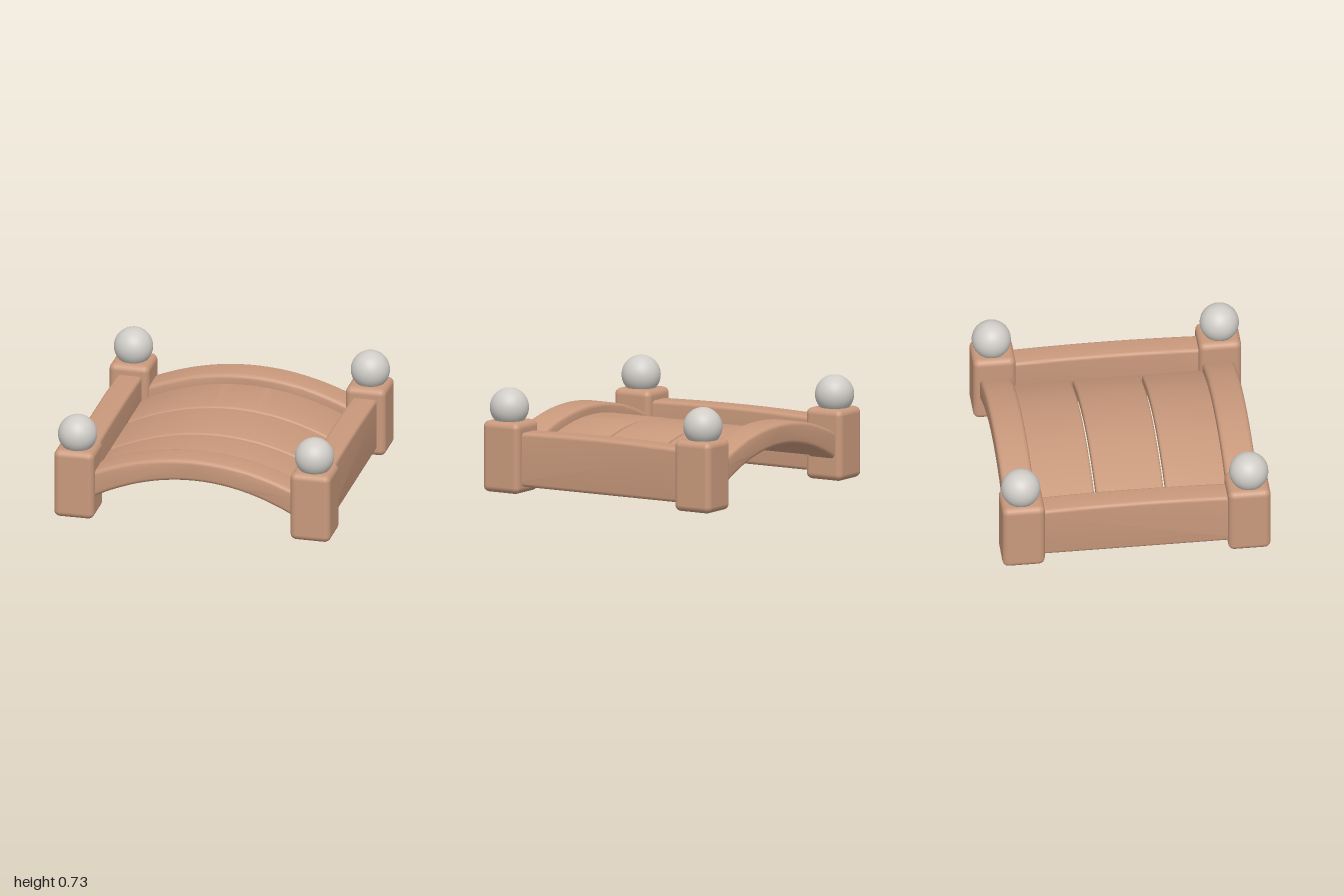
import * as THREE from 'three';
import { toCreasedNormals } from 'three/addons/utils/BufferGeometryUtils.js';
import { RoundedBoxGeometry } from 'three/addons/geometries/RoundedBoxGeometry.js';

// A beam along x whose top and bottom follow parabolas: peak - drop * x².
// Its long edges are rounded; depth runs from z0 to z1.
function archBeam(half, top, topDrop, bottom, bottomDrop, z0, z1, round) {
  const steps = 32;
  const points = [];
  for (let i = 0; i <= steps; i++) {
    const x = -half + (2 * half * i) / steps;
    points.push(new THREE.Vector2(x, bottom - bottomDrop * x * x));
  }
  for (let i = steps; i >= 0; i--) {
    const x = -half + (2 * half * i) / steps;
    points.push(new THREE.Vector2(x, top - topDrop * x * x));
  }
  const geometry = new THREE.ExtrudeGeometry(new THREE.Shape(points), {
    depth: z1 - z0 - 2 * round,
    bevelEnabled: true,
    bevelThickness: round,
    bevelSize: round,
    bevelOffset: -round,
    bevelSegments: 5,
  });
  geometry.translate(0, 0, z0 + round);
  return toCreasedNormals(geometry, 0.6);
}

export function createModel() {
  const group = new THREE.Group();
  const wood = new THREE.MeshStandardMaterial({ color: 0xc9997c });
  wood.name = 'tan wood';
  const stone = new THREE.MeshStandardMaterial({ color: 0xd0cdc8 });
  stone.name = 'pale grey';

  const add = (name, geometry, material, x = 0, y = 0, z = 0) => {
    const mesh = new THREE.Mesh(geometry, material);
    mesh.name = name;
    mesh.position.set(x, y, z);
    group.add(mesh);
    return mesh;
  };

  // Corner posts with ball finials
  const postGeometry = new RoundedBoxGeometry(0.29, 0.505, 0.3, 5, 0.045);
  const ballGeometry = new THREE.SphereGeometry(0.138, 40, 28);
  for (const [side, sx] of [['left', 1], ['right', -1]]) {
    for (const [end, sz] of [['Front', 1], ['Back', -1]]) {
      add(`${side}${end}Post`, postGeometry, wood, sx * 0.855, 0.2525, sz * 0.798);
      add(`${side}${end}Ball`, ballGeometry, stone, sx * 0.857, 0.595, sz * 0.806);
    }
  }

  // Arched rims across the front and back
  const rimGeometry = archBeam(0.8, 0.508, 0.3, 0.35, 0.37, -0.112, 0.112, 0.03);
  add('frontRim', rimGeometry, wood, 0, 0, 0.782);
  add('backRim', rimGeometry, wood, 0, 0, -0.79);

  // Arched deck planks, separated by narrow gaps
  const planks = [[-0.75, -0.257], [-0.243, 0.233], [0.247, 0.75]];
  planks.forEach(([z0, z1], i) => {
    add(`deckPlank${i + 1}`, archBeam(0.82, 0.438, 0.32, 0.365, 0.35, z0, z1, 0.018), wood);
  });

  // Side rails with a slightly crowned top
  const railGeometry = archBeam(0.76, 0.445, 0.03, 0.05, 0, -0.09, 0.09, 0.025);
  for (const [side, sx] of [['left', 1], ['right', -1]]) {
    add(`${side}Rail`, railGeometry, wood, sx * 0.85, 0, 0).rotation.y = Math.PI / 2;
  }

  return group;
}
